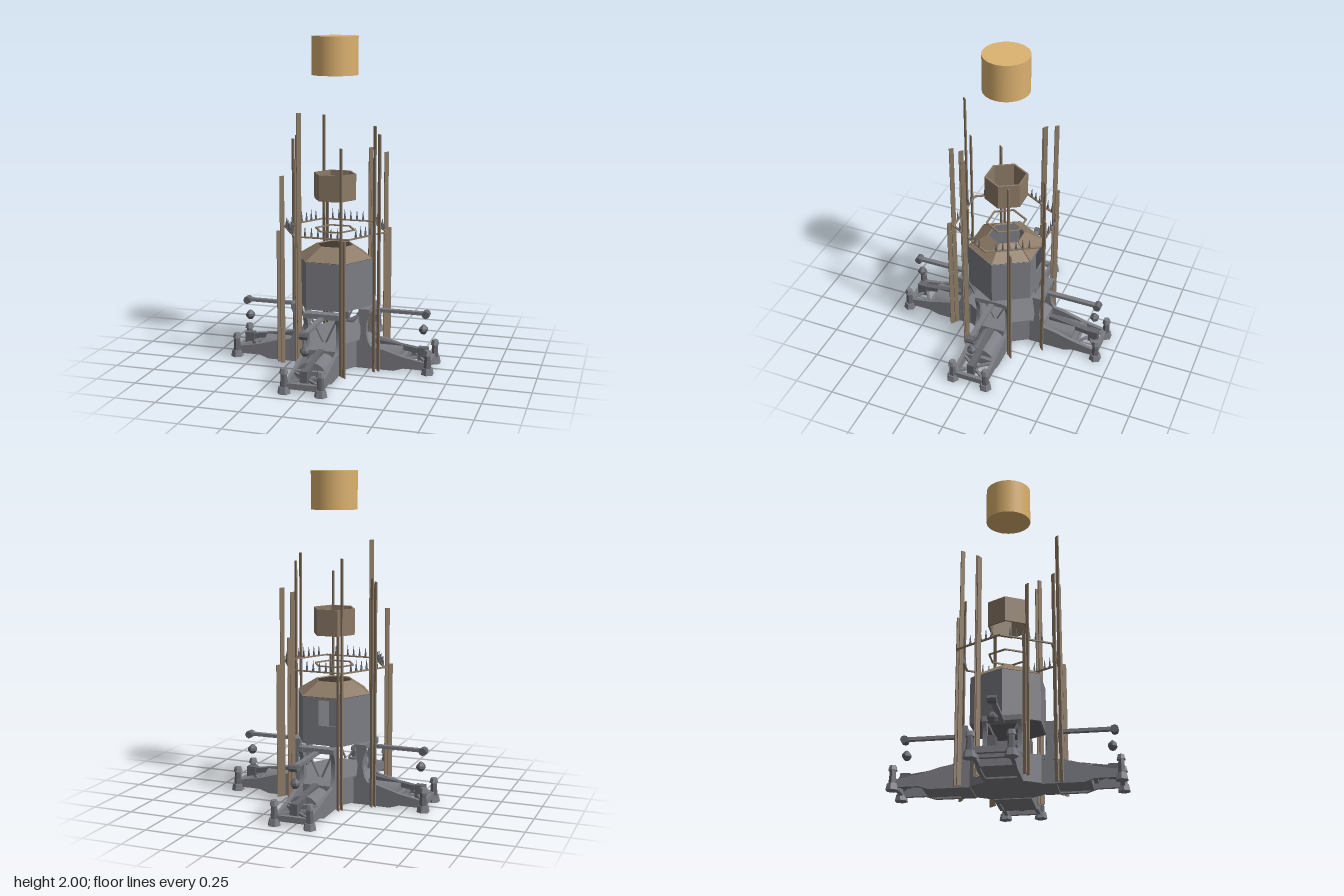
import * as THREE from 'three';

const mat = (color) => new THREE.MeshStandardMaterial({ color, flatShading: true, side: THREE.DoubleSide });
const STONE = mat(0x7c7d84), DARK = mat(0x66676d), WOOD = mat(0x8c7a66), GOLD = mat(0xdcb270);

function add(parent, name, geo, material, x = 0, y = 0, z = 0) {
  const m = new THREE.Mesh(geo, material);
  m.name = name;
  m.position.set(x, y, z);
  parent.add(m);
  return m;
}

// Box bar running between two points
function bar(parent, name, a, b, w, h, material) {
  const A = new THREE.Vector3(...a), B = new THREE.Vector3(...b);
  const m = add(parent, name, new THREE.BoxGeometry(w, h, A.distanceTo(B)), material);
  m.position.copy(A).add(B).multiplyScalar(0.5);
  m.lookAt(B);
  return m;
}

const polygon = (pts) => new THREE.Shape(pts.map((p) => new THREE.Vector2(...p)));

// Flat shape in XY given a thickness centred on z = 0
function slab(shape, depth) {
  const g = new THREE.ExtrudeGeometry(shape, { depth, bevelEnabled: false, curveSegments: 10 });
  return g.translate(0, 0, -depth / 2);
}

const hexTube = (rTop, rBottom, h, open) =>
  new THREE.CylinderGeometry(rTop, rBottom, h, 6, 1, open, Math.PI / 2);

// Corner foot: hexagonal base, post and cap
function foot(parent, x, z) {
  const g = new THREE.Group();
  g.name = 'foot';
  g.position.set(x, 0, z);
  parent.add(g);
  add(g, 'footBase', new THREE.CylinderGeometry(0.032, 0.04, 0.04, 6), STONE, 0, 0.02);
  add(g, 'footPost', new THREE.CylinderGeometry(0.018, 0.024, 0.08, 6), DARK, 0, 0.08);
  add(g, 'footCap', new THREE.CylinderGeometry(0.02, 0.028, 0.03, 6), STONE, 0, 0.133);
}

// One arm pointing along +x
function createArm() {
  const arm = new THREE.Group();
  arm.name = 'arm';
  add(arm, 'armRoot', slab(polygon([[0.16, 0], [0.16, 0.17], [0.2, 0.17], [0.245, 0.145], [0.245, 0]]), 0.22), STONE);

  // Arched cover with a slot along its crest
  const arch = new THREE.Shape();
  arch.moveTo(-0.09, 0.01);
  arch.lineTo(-0.09, 0.06);
  arch.quadraticCurveTo(-0.08, 0.13, 0, 0.135);
  arch.quadraticCurveTo(0.08, 0.13, 0.09, 0.06);
  arch.lineTo(0.09, 0.01);
  const cover = add(arm, 'archedCover', slab(arch, 0.2), STONE, 0.34);
  cover.rotation.y = Math.PI / 2;
  add(arm, 'crestRail', new THREE.BoxGeometry(0.3, 0.03, 0.036), DARK, 0.41, 0.125).rotation.z = -0.14;

  // Side plates, legs and foot truss
  const plate = [[0.24, 0], [0.24, 0.145], [0.34, 0.125], [0.46, 0.09], [0.6, 0.065], [0.6, 0.02], [0.46, 0.02], [0.4, 0]];
  const leg = new THREE.Shape();
  leg.moveTo(0.17, 0.14);
  leg.quadraticCurveTo(0.195, 0.17, 0.195, 0.25);
  leg.lineTo(0.18, 0.37);
  leg.lineTo(0.25, 0.37);
  leg.lineTo(0.25, 0.34);
  leg.quadraticCurveTo(0.225, 0.3, 0.228, 0.24);
  leg.quadraticCurveTo(0.23, 0.17, 0.26, 0.14);
  for (const s of [-1, 1]) {
    add(arm, 'sidePlate', slab(polygon(plate), 0.022), STONE, 0, 0, s * 0.1);
    add(arm, 'leg', slab(leg, 0.025), STONE, 0, 0, s * 0.1);
    bar(arm, 'legBrace', [0.19, 0.35, s * 0.09], [0.18, 0.18, s * 0.01], 0.01, 0.01, STONE);
    bar(arm, 'trussBrace', [0.47, 0.075, s * 0.09], [0.6, 0.06, -s * 0.09], 0.015, 0.015, STONE);
    foot(arm, 0.61, s * 0.11);
  }
  add(arm, 'innerCrossbeam', new THREE.BoxGeometry(0.025, 0.04, 0.2), STONE, 0.455, 0.07);
  add(arm, 'outerCrossbeam', new THREE.BoxGeometry(0.025, 0.035, 0.2), STONE, 0.605, 0.045);
  add(arm, 'legLintel', new THREE.BoxGeometry(0.06, 0.03, 0.2), STONE, 0.215, 0.355);
  add(arm, 'endBlock', new THREE.BoxGeometry(0.06, 0.08, 0.045), DARK, 0.56, 0.09);

  // Overhead boom with knob and hanging lantern
  add(arm, 'boom', new THREE.BoxGeometry(0.37, 0.02, 0.03), STONE, 0.4, 0.342);
  const knob = add(arm, 'boomKnob', new THREE.CylinderGeometry(0.024, 0.024, 0.05, 8), DARK, 0.575, 0.338);
  knob.rotation.x = Math.PI / 2;
  const lantern = [[0, 0.215], [0.015, 0.215], [0.03, 0.235], [0.028, 0.25], [0.01, 0.27], [0, 0.275]];
  add(arm, 'lantern', new THREE.LatheGeometry(lantern.map((p) => new THREE.Vector2(...p)), 6), DARK, 0.56);
  return arm;
}

export function createModel() {
  const model = new THREE.Group();
  model.name = 'hexTower';

  // Hub with chamfered corners; the z arms stand slightly further out
  const a = 0.11, bx = 0.17, bz = 0.205;
  const hub = add(model, 'hub', slab(polygon([[bx, a], [a, bz], [-a, bz], [-bx, a], [-bx, -a], [-a, -bz], [a, -bz], [bx, -a]]), 0.165), STONE, 0, 0.0875);
  hub.rotation.x = -Math.PI / 2;
  for (let k = 0; k < 4; k++) {
    const pivot = new THREE.Group();
    pivot.name = 'armPivot';
    pivot.rotation.y = k * Math.PI / 2;
    const arm = createArm();
    arm.position.x = k % 2 ? 0.043 : 0;
    pivot.add(arm);
    model.add(pivot);
  }

  // Six wall and roof panels, the back wall with an opening
  add(model, 'floor', hexTube(0.23, 0.23, 0.012, false), DARK, 0, 0.376);
  for (let i = 0; i < 6; i++) {
    const side = new THREE.Group();
    side.name = 'towerSide';
    side.rotation.y = i * Math.PI / 3;
    model.add(side);
    const wall = polygon([[-0.12, 0.37], [0.12, 0.37], [0.12, 0.66], [-0.12, 0.66]]);
    if (i === 3) wall.holes.push(new THREE.Path([[-0.02, 0.49], [-0.02, 0.645], [0.105, 0.645], [0.105, 0.49]].map((p) => new THREE.Vector2(...p))));
    add(side, 'wallPanel', slab(wall, 0.01), STONE, 0, 0, 0.203);
    const roof = add(side, 'roofPanel', slab(polygon([[-0.116, 0], [0.116, 0], [0.056, 0.13], [-0.056, 0.13]]), 0.008), WOOD, 0, 0.66, 0.204);
    roof.rotation.x = -Math.atan2(0.105, 0.075);

    // Thin ring of spikes and the small inner ring
    add(side, 'outerRingBar', new THREE.BoxGeometry(0.33, 0.008, 0.012), WOOD, 0, 0.832, 0.283);
    add(side, 'innerRingBar', new THREE.BoxGeometry(0.125, 0.008, 0.01), WOOD, 0, 0.832, 0.106);
    for (let j = 0; j < 6; j++)
      add(side, 'spike', new THREE.ConeGeometry(0.008, 0.065, 5), DARK, -0.1 + j * 0.04, 0.87, 0.283);
  }

  // Floating hexagonal collar: outer and inner walls
  add(model, 'collarOuter', hexTube(0.133, 0.133, 0.16, true), WOOD, 0, 1.098);
  add(model, 'collarInner', hexTube(0.12, 0.12, 0.16, true), WOOD, 0, 1.098);
  for (const y of [1.018, 1.178])
    add(model, 'collarRim', new THREE.RingGeometry(0.12, 0.133, 6), WOOD, 0, y).rotation.x = -Math.PI / 2;

  // Floating drum on top
  const gold = GOLD.clone();
  gold.flatShading = false;
  add(model, 'drum', new THREE.CylinderGeometry(0.14, 0.14, 0.23, 40), gold, 0, 1.885);

  // Tall thin posts of uneven height, set edge-on to the corners: x, z, height
  const posts = [
    [-0.125, 0.32, 1.57], [-0.145, 0.295, 1.3], [-0.288, 0.155, 1.17], [-0.315, 0.14, 0.83],
    [0.29, 0.16, 1.49], [0.313, 0.14, 1.44], [0.125, 0.3, 1.37], [0.15, 0.32, 0.83],
    [-0.15, -0.26, 1.5], [-0.135, -0.28, 1.05], [-0.31, -0.125, 1.36], [-0.293, -0.138, 1.38],
    [0.145, -0.3, 1.3], [0.16, -0.31, 1.03], [0.288, -0.13, 1.3], [0.305, -0.15, 0.83],
  ];
  for (const [x, z, h] of posts) {
    const p = add(model, 'post', new THREE.BoxGeometry(0.028, h, 0.007), WOOD, x, h / 2, z);
    p.rotation.y = x * z > 0 ? -Math.PI / 4 : Math.PI / 4;
  }
  return model;
}
